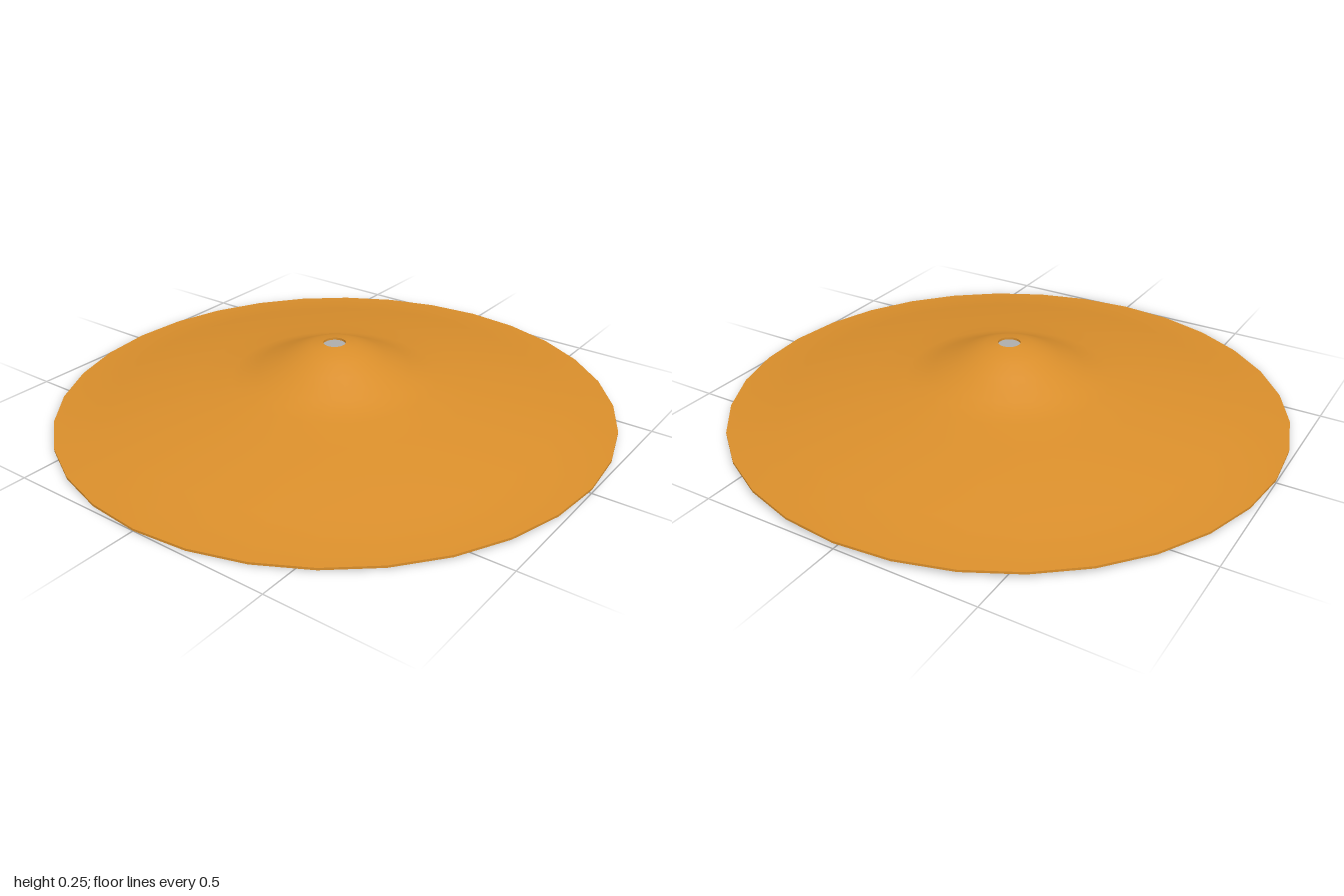
import * as THREE from 'three';

export function createModel() {
  const group = new THREE.Group();
  group.name = 'cymbal';
  const material = new THREE.MeshStandardMaterial({ color: 0xd98e2b });
  const thickness = 0.008;

  // Upper profile from the rim, over the bow and bell, to the centre hole
  const upper = [
    [1, 0.018], [0.9, 0.028], [0.8, 0.05], [0.65, 0.081], [0.5, 0.107],
    [0.37, 0.128], [0.32, 0.142], [0.27, 0.16], [0.18, 0.203], [0.13, 0.228],
    [0.085, 0.244], [0.04, 0.252],
  ].map(([r, y]) => new THREE.Vector2(r, y));
  const lower = upper.map((p) => new THREE.Vector2(p.x, p.y - thickness)).reverse();

  // Separate turned surfaces keep the rim and hole edges sharp
  const turn = (name, points) => {
    const mesh = new THREE.Mesh(new THREE.LatheGeometry(points, 32), material);
    mesh.name = name;
    group.add(mesh);
  };
  const last = upper.length - 1;
  turn('upperFace', upper);
  turn('lowerFace', lower);
  turn('rimEdge', [lower[last], upper[0]]);
  turn('centreHole', [upper[last], lower[0]]);

  // The disc leans very slightly towards the front
  group.rotation.set(0.01, 0, 0.002);
  return group;
}
